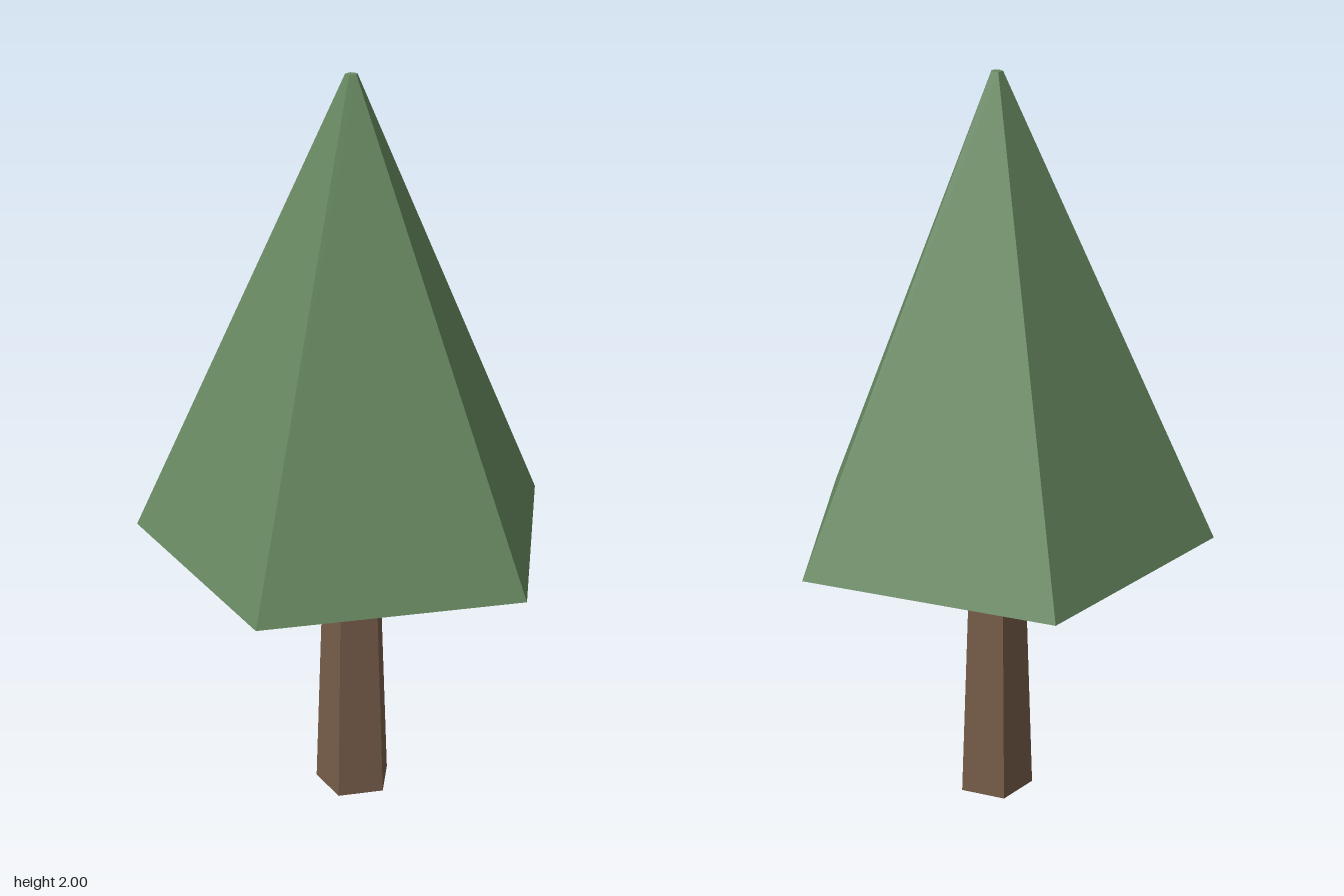
import * as THREE from 'three';

const SIDES = 5;
const AXIS_X = -0.056; // puts the pentagon's bounding box on x = 0

// Tapered five-sided prism with one corner pointing to +x
function taperedPrism(name, topRadius, bottomRadius, y0, y1, color) {
  const geometry = new THREE.CylinderGeometry(
    topRadius, bottomRadius, y1 - y0, SIDES, 1, false, Math.PI / 2);
  const material = new THREE.MeshStandardMaterial({ color, flatShading: true });
  const mesh = new THREE.Mesh(geometry, material);
  mesh.name = name;
  mesh.position.set(AXIS_X, (y0 + y1) / 2, 0);
  return mesh;
}

export function createModel() {
  const tree = new THREE.Group();
  tree.name = 'tree';
  tree.add(
    taperedPrism('trunk', 0.078, 0.106, 0, 0.76, 0x765c49),
    taperedPrism('foliage', 0.016, 0.582, 0.76, 2, 0x668860),
  );
  return tree;
}
